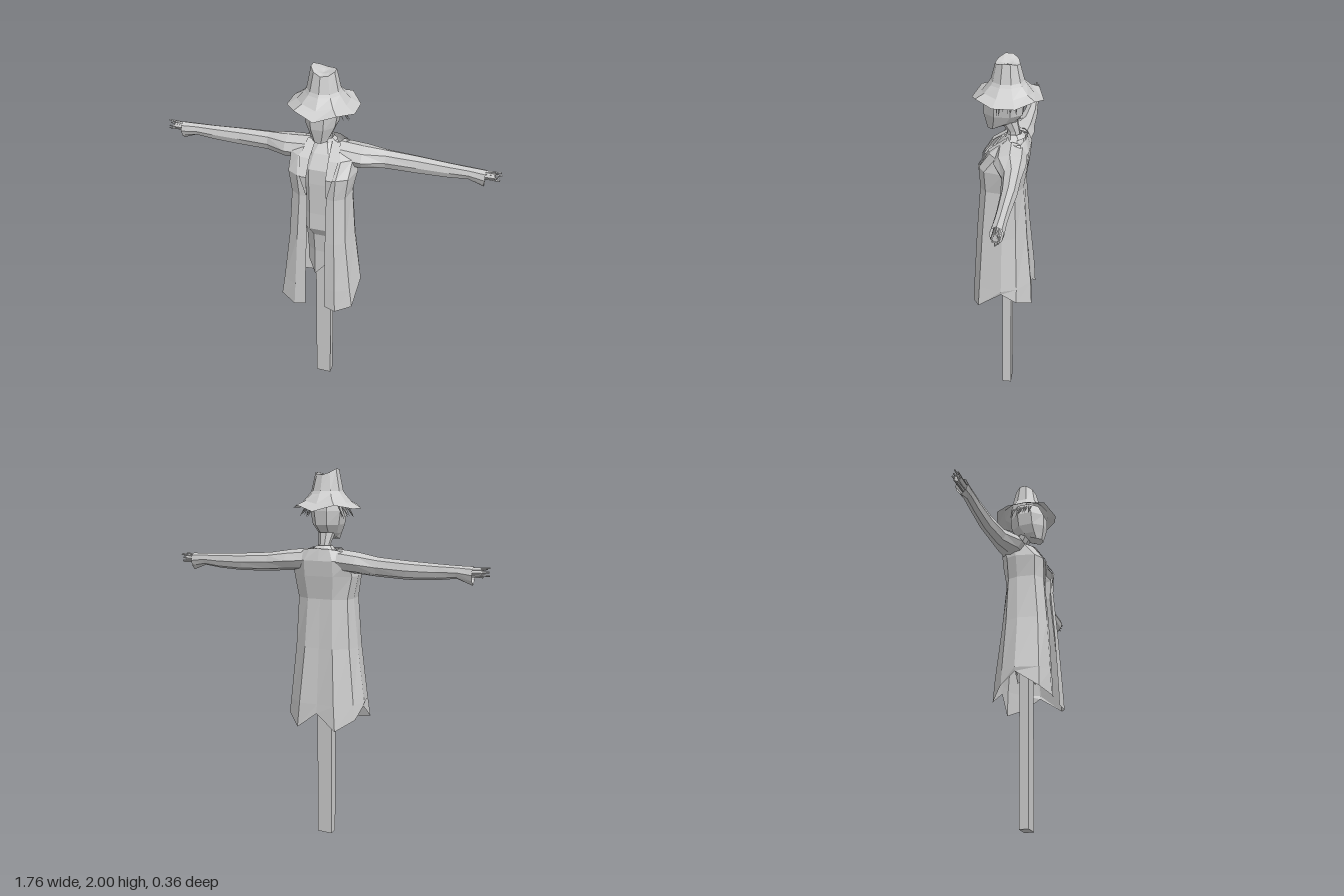
import * as THREE from 'three';

const grey = new THREE.MeshStandardMaterial({ color: 0xcccccc, flatShading: true, side: THREE.DoubleSide });
grey.name = 'light grey';

// Skin a list of cross-sections (each a list of [x, y, z]) with flat faces
function loft(rings, closed = true) {
  const n = rings[0].length, index = [];
  for (let i = 0; i < rings.length - 1; i++) {
    for (let j = 0; j < (closed ? n : n - 1); j++) {
      const k = (j + 1) % n;
      const a = i * n + j, b = i * n + k, c = b + n, d = a + n;
      index.push(a, d, b, b, d, c);
    }
  }
  const geo = new THREE.BufferGeometry();
  geo.setAttribute('position', new THREE.Float32BufferAttribute(rings.flat(2), 3));
  geo.setIndex(index);
  const flat = geo.toNonIndexed();
  flat.computeVertexNormals();
  return flat;
}

// Horizontal ring; y may be a function of the side number
function ring(y, rx, zFront, zBack, n = 8) {
  return Array.from({ length: n }, (_, j) => {
    const t = ((j + 0.5) / n) * Math.PI * 2;
    return [rx * Math.cos(t), typeof y === 'function' ? y(j) : y,
      (zFront + zBack) / 2 + (zFront - zBack) / 2 * Math.sin(t) * 1.06];
  });
}

// Thin straw from one point to another
function straw(from, to, r0, r1) {
  const a = new THREE.Vector3(...from), b = new THREE.Vector3(...to);
  const dir = b.clone().sub(a);
  const geo = new THREE.CylinderGeometry(r1, r0, dir.length(), 4);
  geo.applyQuaternion(new THREE.Quaternion().setFromUnitVectors(new THREE.Vector3(0, 1, 0), dir.normalize()));
  const mid = a.add(b).multiplyScalar(0.5);
  return geo.translate(mid.x, mid.y, mid.z);
}

export function createModel() {
  const model = new THREE.Group();
  model.name = 'scarecrow';
  const add = (name, geo, parent = model) => {
    const mesh = new THREE.Mesh(geo, grey);
    mesh.name = name;
    parent.add(mesh);
  };
  let seed = 7;
  const rand = () => (seed = (seed * 16807) % 2147483647) / 2147483647;

  // Post
  add('post', new THREE.BoxGeometry(0.085, 1.5, 0.05).translate(0.005, 0.75, 0));

  // Ragged trousers around the post
  add('trousers', loft([
    ring((j) => (j % 2 ? 0.87 : 0.79), 0.085, 0.06, -0.06),
    ring(0.95, 0.085, 0.06, -0.06),
    ring(1.07, 0.09, 0.07, -0.06),
  ]));

  // Shirt
  add('shirt', loft([
    ring(1.05, 0.08, 0.06, -0.05), ring(1.125, 0.125, 0.105, -0.075),
    ring(1.22, 0.12, 0.1, -0.075), ring(1.4, 0.13, 0.1, -0.075),
    ring(1.48, 0.13, 0.095, -0.09), ring(1.55, 0.1, 0.05, -0.09),
    ring(1.6, 0.045, 0.005, -0.08),
  ]));

  // Long open coat: half sections from front edge to middle of the back
  const halves = [
    [[0.055, 0.655, 0.165], [0.115, 0.645, 0.175], [0.2, 0.67, 0.135], [0.21, 0.76, 0.01],
      [0.195, 0.7, -0.07], [0.11, 0.645, -0.145], [0, 0.73, -0.135]],
    [[0.055, 0.78, 0.16], [0.11, 0.78, 0.168], [0.185, 0.78, 0.13], [0.215, 0.78, 0.01],
      [0.185, 0.78, -0.07], [0.1, 0.78, -0.138], [0, 0.78, -0.13]],
    [[0.05, 1.08, 0.145], [0.1, 1.08, 0.15], [0.152, 1.08, 0.115], [0.175, 1.08, 0.01],
      [0.155, 1.08, -0.06], [0.08, 1.08, -0.11], [0, 1.08, -0.105]],
    [[0.05, 1.34, 0.125], [0.09, 1.34, 0.13], [0.14, 1.34, 0.095], [0.153, 1.34, 0],
      [0.14, 1.34, -0.055], [0.07, 1.34, -0.09], [0, 1.34, -0.09]],
    [[0.055, 1.46, 0.13], [0.1, 1.46, 0.133], [0.155, 1.46, 0.1], [0.178, 1.46, 0],
      [0.165, 1.46, -0.055], [0.08, 1.46, -0.108], [0, 1.46, -0.108]],
    [[0.055, 1.54, 0.078], [0.11, 1.54, 0.078], [0.16, 1.54, 0.04], [0.17, 1.54, -0.02],
      [0.16, 1.54, -0.08], [0.08, 1.54, -0.115], [0, 1.54, -0.115]],
    [[0.045, 1.605, -0.01], [0.07, 1.6, -0.015], [0.095, 1.595, -0.03], [0.11, 1.59, -0.05],
      [0.1, 1.592, -0.075], [0.055, 1.6, -0.095], [0, 1.602, -0.1]],
  ];
  add('coat', loft(halves.map((h) => [
    ...h.map(([x, y, z]) => [-x, y, z]),
    ...h.slice(0, -1).reverse(),
  ]), false));

  // Coat back collar and neck
  add('collar', loft([
    ring(1.595, 0.06, 0.01, -0.09), ring(1.615, 0.042, 0.005, -0.07), ring(1.6, 0.035, 0, -0.06),
  ]));
  add('neck', loft([
    ring(1.57, 0.034, 0, -0.065), ring(1.625, 0.032, 0, -0.06), ring(1.68, 0.045, 0.04, -0.05),
  ]));

  // Head, chin forward
  add('head', loft([
    ring(1.645, 0.001, 0.08, 0.079),
    ring((j) => (j < 4 ? 1.64 : 1.655), 0.04, 0.1, 0.01),
    ring(1.675, 0.058, 0.108, -0.035),
    ring(1.72, 0.08, 0.118, -0.078),
    ring(1.79, 0.093, 0.118, -0.085),
    ring(1.86, 0.075, 0.085, -0.075),
  ]));

  // Floppy hat: radius, height, wave and pinch of each ring
  const hat = [[0.178, 1.808, 0.017, 0], [0.13, 1.835, 0.008, 0], [0.093, 1.875, 0, 0], [0.083, 1.89, 0, 0],
    [0.061, 1.97, 0, 1], [0.03, 1.974, 0, 1], [0.001, 1.968, 0, 1]];
  const hatRing = ([r, y, wave, pinch]) => Array.from({ length: 10 }, (_, j) => {
    const t = ((j + 0.5) / 10) * Math.PI * 2;
    const x = r * Math.cos(t), u = x / 0.058;
    return [x, y - wave * Math.cos(4 * t) + pinch * (0.022 * u * u - 0.008 * u), r * Math.sin(t)];
  });
  add('hat', loft(hat.map(hatRing)));

  // Mirrored parts
  for (const s of [1, -1]) {
    const side = s > 0 ? 'left' : 'right';

    // Lapel: inner x, outer x, height, depth
    const lapel = [[0.05, 0.056, 1.35, 0.132], [0.05, 0.085, 1.46, 0.14], [0.048, 0.1, 1.54, 0.087],
      [0.042, 0.085, 1.602, -0.004]];
    add(side + 'Lapel', loft(lapel.map(([a, b, y, z]) => {
      const row = [[a * s, y, z], [b * s, y, z]];
      return s > 0 ? row.reverse() : row;
    }), false));

    // Sleeve: x, top, bottom, front, back, with a drooping cuff
    const sleeve = [[0.08, 1.598, 1.48, 0.05, -0.108], [0.2, 1.585, 1.475, 0.045, -0.115],
      [0.31, 1.568, 1.47, -0.01, -0.105], [0.47, 1.558, 1.464, -0.026, -0.103],
      [0.62, 1.55, 1.47, -0.03, -0.093], [0.72, 1.546, 1.482, -0.03, -0.09],
      [0.8, 1.545, 1.452, -0.024, -0.09]];
    const sleeveRing = ([x, top, bottom, front, back], i) => Array.from({ length: 8 }, (_, j) => {
      const t = (j / 8) * Math.PI * 2;
      const lift = i === 6 && j !== 4 ? 0.006 * (1 - Math.cos(t)) : 0;
      return [s * x, (top + bottom) / 2 + (top - bottom) / 2 * Math.cos(t) + lift,
        (front + back) / 2 - s * (front - back) / 2 * Math.sin(t)];
    });
    add(side + 'Sleeve', loft(sleeve.map(sleeveRing)));

    // Straw hand poking out of the cuff
    const hand = new THREE.Group();
    hand.name = side + 'Hand';
    model.add(hand);
    for (let j = 0; j < 8; j++) {
      const c = Math.cos(j * Math.PI / 4), d = Math.sin(j * Math.PI / 4);
      add('handStraw', straw([s * 0.72, 1.516 + 0.012 * c, -0.06 + 0.01 * d],
        [s * (0.845 + 0.037 * rand()), 1.518 + 0.023 * c, -0.06 + 0.018 * d], 0.009, 0.004), hand);
    }
    add('handCore', new THREE.CylinderGeometry(0.02, 0.02, 0.13, 6).rotateZ(Math.PI / 2)
      .translate(s * 0.78, 1.517, -0.059), hand);

    // Straw hair under the brim
    const hair = new THREE.Group();
    hair.name = side + 'Hair';
    model.add(hair);
    for (let j = 0; j < 10; j++) {
      const z = -0.06 + 0.013 * j, x = 0.088 - 0.075 * Math.abs(z);
      add('hairStraw', straw([s * x, 1.83, z],
        [s * (x + 0.02 + 0.035 * rand()), 1.745 + 0.03 * rand(), z + 0.02 * (rand() - 0.5)], 0.005, 0.001), hair);
    }
  }
  return model;
}
